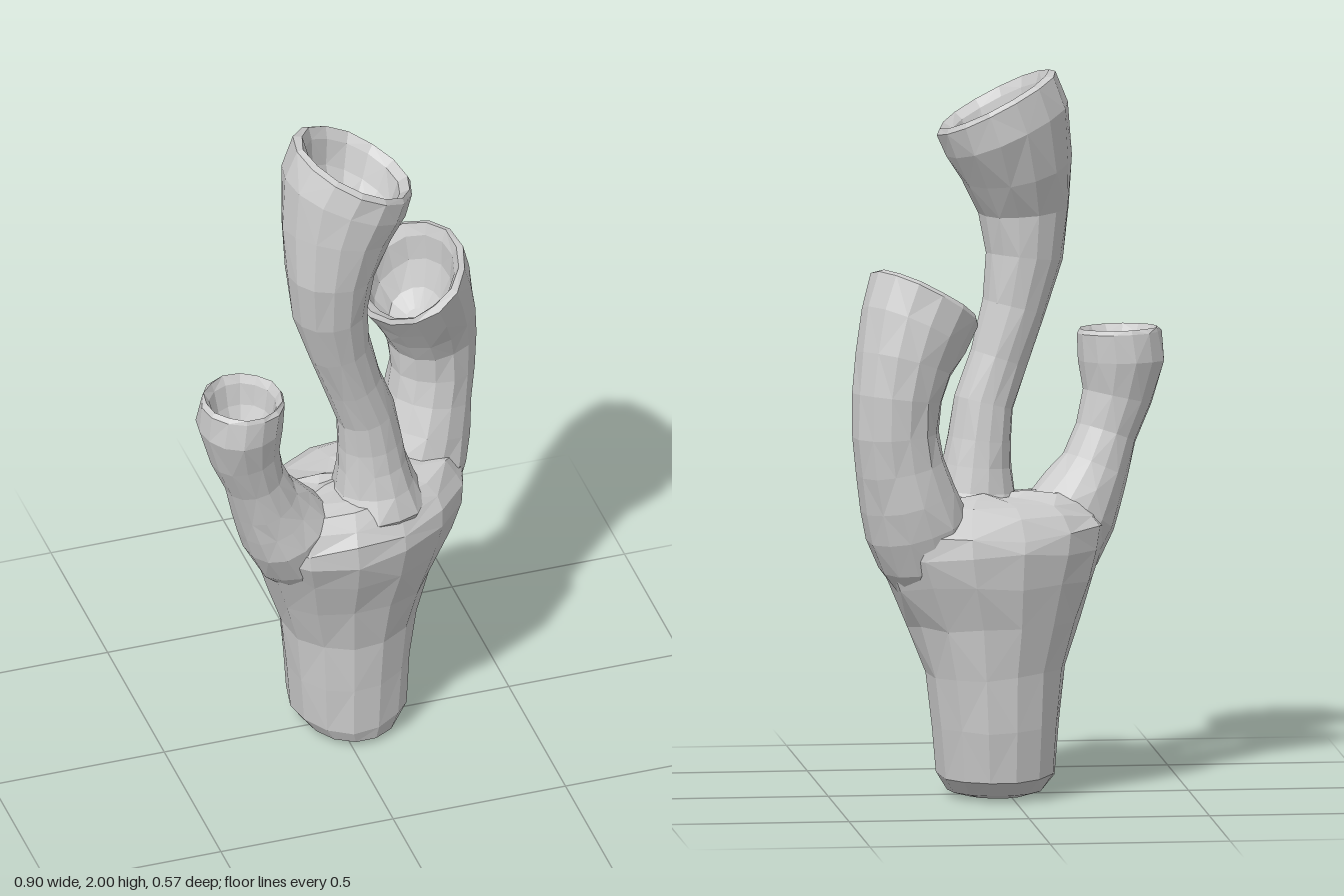
import * as THREE from 'three';

const SIDES = 14;

// Small seeded noise for the irregular, hand-grown surface
let seed = 7;
const noise = (amount) => {
  seed = (seed * 16807) % 2147483647;
  return (seed / 2147483647 - 0.5) * 2 * amount;
};

// Skins a list of rings (arrays of Vector3, counter-clockwise from above) and closes both ends
function skin(name, rings, material) {
  const positions = [];
  const tri = (...points) => points.forEach((p) => positions.push(p.x, p.y, p.z));
  for (let r = 0; r < rings.length - 1; r++) {
    const lower = rings[r], upper = rings[r + 1];
    for (let i = 0; i < SIDES; i++) {
      const j = (i + 1) % SIDES;
      if ((i + r) % 2) {
        tri(lower[i], lower[j], upper[j]);
        tri(lower[i], upper[j], upper[i]);
      } else {
        tri(lower[i], lower[j], upper[i]);
        tri(lower[j], upper[j], upper[i]);
      }
    }
  }
  const middle = (ring) => ring.reduce((s, p) => s.add(p), new THREE.Vector3()).divideScalar(SIDES);
  const first = rings[0], last = rings[rings.length - 1];
  const start = middle(first), end = middle(last);
  for (let i = 0; i < SIDES; i++) {
    const j = (i + 1) % SIDES;
    tri(start, first[j], first[i]);
    tri(end, last[i], last[j]);
  }
  const geometry = new THREE.BufferGeometry();
  geometry.setAttribute('position', new THREE.Float32BufferAttribute(positions, 3));
  geometry.computeVertexNormals();
  const mesh = new THREE.Mesh(geometry, material);
  mesh.name = name;
  return mesh;
}

// Slanted oval of the trunk: extents in x and z, skew leans it towards +x, -z
function ovalRing([y, x0, x1, z0, z1, skew]) {
  return Array.from({ length: SIDES }, (_, i) => {
    const t = (i / SIDES) * Math.PI * 2, k = 1.015 + noise(0.015);
    return new THREE.Vector3(
      (x0 + x1) / 2 + ((x1 - x0) / 2) * Math.cos(t) * k,
      y + (y > 0.03 ? noise(0.01) : 0),
      (z0 + z1) / 2 - ((z1 - z0) / 2) * Math.sin(t + skew) * k
    );
  });
}

// Round ring facing along a normal
function roundRing(center, normal, radius, wobble = 0.03) {
  const u = new THREE.Vector3(1, 0, 0).addScaledVector(normal, -normal.x).normalize();
  const v = new THREE.Vector3().crossVectors(normal, u);
  return Array.from({ length: SIDES }, (_, i) => {
    const t = (i / SIDES) * Math.PI * 2, r = radius * (1.01 + noise(wobble));
    return center.clone().addScaledVector(u, Math.cos(t) * r).addScaledVector(v, Math.sin(t) * r);
  });
}

// Tube through stations [x, y, z, radius], ending in a hollow cup facing along mouth
function branch(name, stations, mouth, cupDepth, material) {
  const centers = stations.map(([x, y, z]) => new THREE.Vector3(x, y, z));
  const mouthNormal = new THREE.Vector3(...mouth).normalize();
  const n = centers.length;
  const normals = centers.map((c, i) =>
    i === n - 1 ? mouthNormal
      : centers[i + 1].clone().sub(centers[Math.max(i - 1, 0)]).normalize());
  normals[n - 2].lerp(mouthNormal, 0.6).normalize();
  const rings = centers.map((c, i) => roundRing(c, normals[i], stations[i][3]));

  // Rounded lip, then the bowl sinking almost straight down
  const rim = centers[n - 1], radius = stations[n - 1][3];
  const inward = new THREE.Vector3(0, -1, 0).addScaledVector(mouthNormal, -0.4).normalize();
  rings.push(roundRing(rim.clone().addScaledVector(mouthNormal, 0.012), mouthNormal, radius * 0.92));
  for (const [depth, scale] of [[0.08, 0.79], [0.5, 0.7], [0.85, 0.48], [1, 0.2]]) {
    rings.push(roundRing(rim.clone().addScaledVector(inward, cupDepth * depth), mouthNormal, radius * scale));
  }
  return skin(name, rings, material);
}

export function createModel() {
  const group = new THREE.Group();
  group.name = 'tubeSponge';
  const material = new THREE.MeshStandardMaterial({ color: 0xcccccc, flatShading: true, side: THREE.DoubleSide });

  // Trunk: y, x range, z range, skew
  const trunk = [
    [0.0, -0.05, 0.12, -0.1, 0.1, 0],
    [0.015, -0.09, 0.17, -0.16, 0.14, 0],
    [0.06, -0.125, 0.2, -0.205, 0.152, 0],
    [0.2, -0.135, 0.215, -0.22, 0.155, 0.05],
    [0.35, -0.15, 0.235, -0.225, 0.16, 0.08],
    [0.48, -0.195, 0.28, -0.24, 0.19, 0.12],
    [0.6, -0.235, 0.34, -0.262, 0.225, 0.18],
    [0.69, -0.265, 0.378, -0.272, 0.25, 0.24],
    [0.74, -0.275, 0.385, -0.258, 0.245, 0.28],
    [0.78, -0.255, 0.37, -0.222, 0.215, 0.32],
    [0.81, -0.215, 0.33, -0.172, 0.175, 0.34],
    [0.828, -0.15, 0.26, -0.11, 0.13, 0.34],
    [0.835, -0.06, 0.16, -0.05, 0.07, 0.34],
  ];
  group.add(skin('trunk', trunk.map(ovalRing), material));

  // Tubes: buried start, flared root, neck and widened mouth
  group.add(branch('middleTube', [
    [0.085, 0.68, 0.06, 0.1], [0.088, 0.78, 0.065, 0.14], [0.086, 0.84, 0.065, 0.112],
    [0.08, 0.91, 0.065, 0.098], [0.074, 0.98, 0.065, 0.088], [0.06, 1.08, 0.072, 0.082],
    [0.018, 1.2, 0.085, 0.08], [-0.028, 1.34, 0.1, 0.088], [-0.056, 1.48, 0.112, 0.105],
    [-0.057, 1.61, 0.12, 0.124], [-0.035, 1.73, 0.1, 0.154], [-0.005, 1.84, 0.077, 0.182],
    [0.026, 1.912, 0.073, 0.183],
  ], [0.46, 0.88, 0.02], 0.18, material));

  group.add(branch('leftTube', [
    [0.215, 0.56, -0.07, 0.08], [0.246, 0.68, -0.105, 0.132], [0.27, 0.77, -0.125, 0.144],
    [0.295, 0.85, -0.14, 0.134], [0.317, 0.94, -0.155, 0.122], [0.33, 1.03, -0.163, 0.118],
    [0.328, 1.13, -0.163, 0.123], [0.308, 1.22, -0.148, 0.136], [0.278, 1.31, -0.122, 0.155],
    [0.242, 1.392, -0.092, 0.163],
  ], [-0.46, 0.85, 0.26], 0.17, material));

  group.add(branch('rightTube', [
    [-0.08, 0.56, 0.055, 0.08], [-0.145, 0.68, 0.08, 0.122], [-0.19, 0.77, 0.102, 0.126],
    [-0.222, 0.83, 0.113, 0.11], [-0.254, 0.89, 0.125, 0.096], [-0.288, 0.98, 0.142, 0.086],
    [-0.318, 1.08, 0.156, 0.097], [-0.333, 1.18, 0.161, 0.12], [-0.324, 1.258, 0.162, 0.117],
  ], [0.02, 1, 0.04], 0.15, material));

  return group;
}
